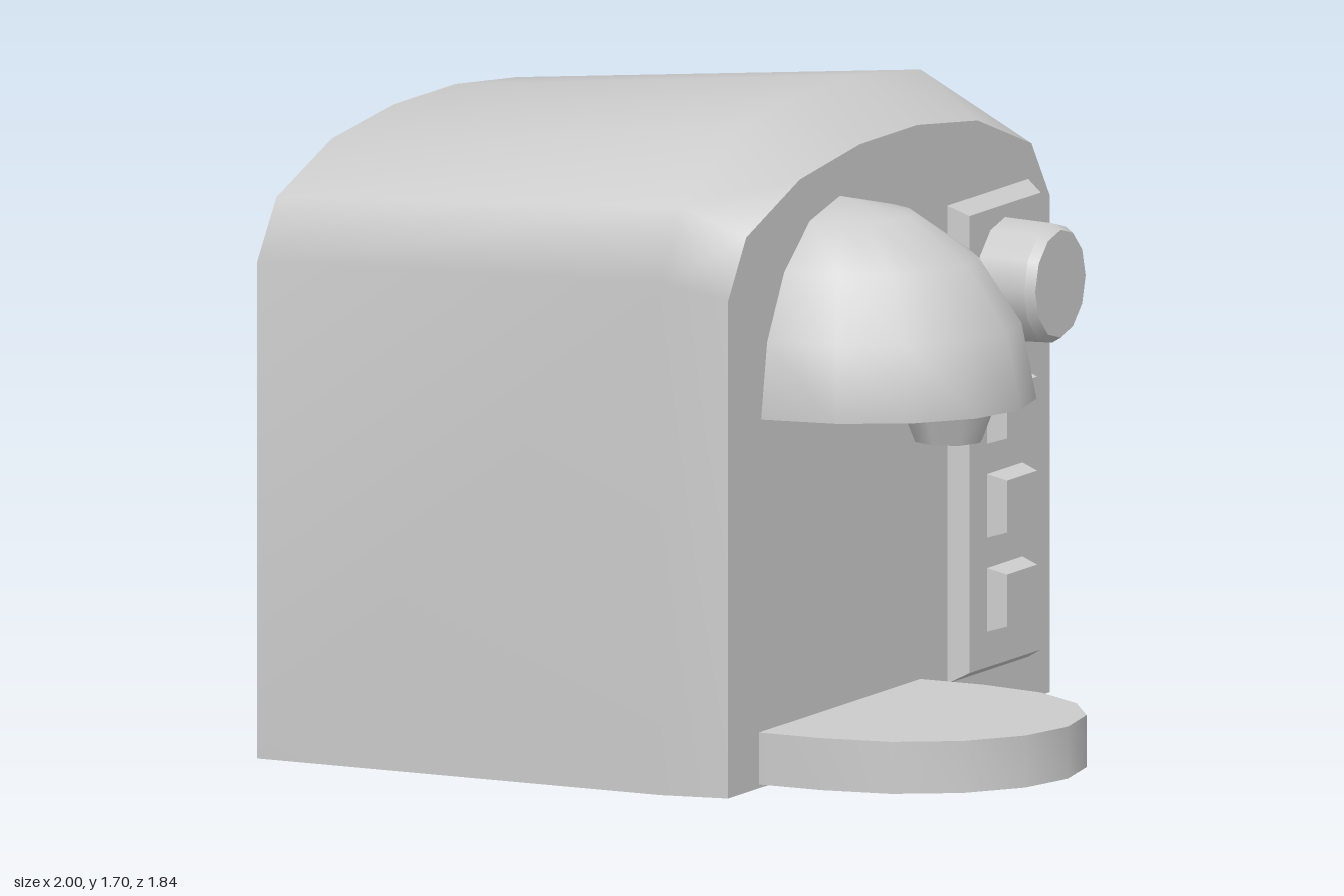
import * as THREE from 'three';

const material = new THREE.MeshStandardMaterial({ color: 0xcccccc, side: THREE.DoubleSide });

function add(group, name, geometry, x = 0, y = 0, z = 0) {
  const mesh = new THREE.Mesh(geometry, material);
  mesh.name = name;
  mesh.position.set(x, y, z);
  group.add(mesh);
  return mesh;
}

function toGeometry(points, index) {
  const g = new THREE.BufferGeometry();
  g.setAttribute('position', new THREE.Float32BufferAttribute(points.flat(), 3));
  g.setIndex(index);
  g.computeVertexNormals();
  return g;
}

// Smooth skin joining a list of open outlines
function loft(sections) {
  const n = sections[0].length, index = [];
  for (let s = 0; s < sections.length - 1; s++) {
    for (let i = 0; i < n - 1; i++) {
      const a = s * n + i, b = a + n;
      index.push(a, b, b + 1, a, b + 1, a + 1);
    }
  }
  return toGeometry(sections.flat(), index);
}

// Flat fan closing one outline
function cap(section, flip = false) {
  const index = [];
  for (let i = 1; i < section.length - 1; i++) {
    if (flip) index.push(0, i, i + 1);
    else index.push(0, i + 1, i);
  }
  return toGeometry(section, index);
}

// Block standing on a wall facing +x, its outer face inset on all sides
function bevelBlock(depth, height, width, inset) {
  const g = new THREE.BoxGeometry(depth, height, width);
  const p = g.attributes.position;
  for (let i = 0; i < p.count; i++) {
    if (p.getX(i) > 0) {
      p.setY(i, p.getY(i) - Math.sign(p.getY(i)) * inset);
      p.setZ(i, p.getZ(i) - Math.sign(p.getZ(i)) * inset);
    }
  }
  g.translate(depth / 2, 0, 0);
  g.computeVertexNormals();
  return g;
}

// Arched outline of the housing: half of it as [z, y], mirrored
function arch(x, half) {
  const mirrored = half.slice().reverse().map(([z, y]) => [-z, y]);
  return [...half, ...mirrored].map(([z, y]) => [x, y, z]);
}

export function createModel() {
  const model = new THREE.Group();
  model.name = 'coffeeMachine';
  const frontX = 0.34, spoutZ = 0.27;

  // Housing, open underneath
  const back = arch(-1, [[0.92, 0], [0.92, 1.29], [0.815, 1.44], [0.51, 1.545], [0.17, 1.58]]);
  const brow = arch(0.165, [[0.92, 0], [0.92, 1.33], [0.815, 1.51], [0.51, 1.66], [0.17, 1.7]]);
  const front = arch(frontX, [[0.885, 0], [0.885, 1.29], [0.785, 1.44], [0.49, 1.545], [0.16, 1.585]]);
  add(model, 'housingShell', loft([back, brow, front]));
  add(model, 'housingFront', cap(front));
  add(model, 'housingBack', cap(back, true));

  // Quarter-dome brewing head with flat underside
  const head = new THREE.Group();
  head.name = 'brewHead';
  head.position.set(frontX, 0.955, spoutZ);
  const dome = new THREE.SphereGeometry(1, 8, 4, Math.PI / 2, Math.PI, 0, Math.PI / 2);
  add(head, 'dome', dome.scale(0.52, 0.513, 0.433));
  const under = new THREE.CircleGeometry(1, 8, -Math.PI / 2, Math.PI).rotateX(Math.PI / 2);
  add(head, 'domeUnderside', under.scale(0.52, 1, 0.433));
  add(head, 'nozzle', new THREE.CylinderGeometry(0.128, 0.09, 0.095, 8), 0.315, -0.0475, 0);
  model.add(head);

  // Rounded drip tray, open underneath
  const trayOutline = (y) => {
    const pts = [[frontX, y, spoutZ - 0.445]];
    for (let i = 0; i <= 8; i++) {
      const a = -Math.PI / 2 + (i * Math.PI) / 8;
      pts.push([0.52 + 0.48 * Math.cos(a), y, spoutZ + 0.445 * Math.sin(a)]);
    }
    pts.push([frontX, y, spoutZ + 0.445]);
    return pts;
  };
  add(model, 'trayRim', loft([trayOutline(0.01), trayOutline(0.145)]));
  add(model, 'trayTop', cap(trayOutline(0.145)));

  // Control panel with three buttons
  const panelZ = -0.545;
  add(model, 'controlPanel', bevelBlock(0.05, 1.24, 0.445, 0.027), frontX, 0.73, panelZ);
  for (const y of [0.312, 0.556, 0.8]) {
    add(model, 'button', bevelBlock(0.05, 0.165, 0.195, 0.015), 0.39, y, panelZ + 0.002);
  }

  // Dial: tapered side, chamfer and flat face, kept as separate smooth bands
  const dial = new THREE.Group();
  dial.name = 'dial';
  dial.position.set(0.39, 1.13, panelZ);
  const band = (r0, r1, x0, x1) => new THREE.CylinderGeometry(r1, r0, x1 - x0, 12, 1, true)
    .translate(0, (x0 + x1) / 2, 0).rotateZ(-Math.PI / 2);
  add(dial, 'dialSide', band(0.16, 0.155, 0, 0.135));
  add(dial, 'dialChamfer', band(0.155, 0.14, 0.135, 0.16));
  add(dial, 'dialFace', new THREE.CircleGeometry(0.14, 12).rotateY(Math.PI / 2), 0.16);
  model.add(dial);

  return model;
}
